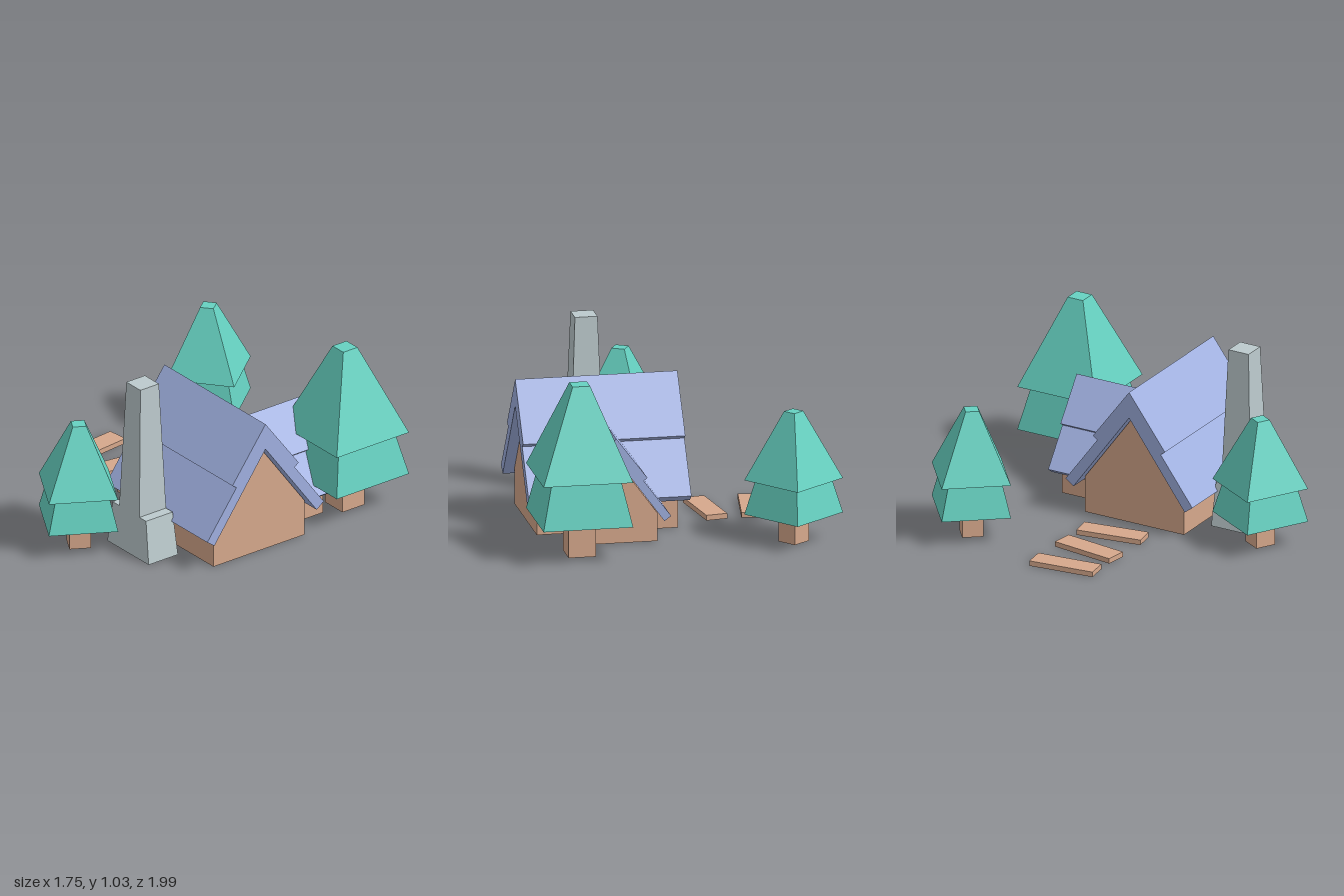
import * as THREE from 'three';

const material = (color) => new THREE.MeshStandardMaterial({ color, flatShading: true });
const WOOD = material(0xd6a88c);
const ROOF = material(0xa0b0e0);
const LEAF = material(0x66d1c1);
const STONE = material(0xbccacd);

function add(parent, name, geometry, mat, x = 0, y = 0, z = 0) {
  const mesh = new THREE.Mesh(geometry, mat);
  mesh.name = name;
  mesh.position.set(x, y, z);
  parent.add(mesh);
  return mesh;
}

// Mirrored outline (right half given from top to bottom) extruded along z from z0 to z1
function extrudeMirrored(half, z0, z1, scale) {
  const right = half.map(([x, y]) => new THREE.Vector2(x * scale, y * scale));
  const left = right.filter((p) => p.x > 0).map((p) => new THREE.Vector2(-p.x, p.y)).reverse();
  const shape = new THREE.Shape([...right, ...left]);
  return new THREE.ExtrudeGeometry(shape, { depth: z1 - z0, bevelEnabled: false }).translate(0, 0, z0);
}

// Four-sided frustum standing on y = 0, given half sizes at bottom and top
function frustum(bx, bz, tx, tz, height) {
  const geometry = new THREE.BoxGeometry(2, height, 2).translate(0, height / 2, 0);
  const p = geometry.attributes.position;
  for (let i = 0; i < p.count; i++) {
    const top = p.getY(i) > height / 2;
    p.setX(i, p.getX(i) * (top ? tx : bx));
    p.setZ(i, p.getZ(i) * (top ? tz : bz));
  }
  geometry.computeVertexNormals();
  return geometry;
}

// Gabled building running along z: low base, gable wall and stepped roof
function gabledHouse(name, scale, wall, roof) {
  const house = new THREE.Group();
  house.name = name;
  const base = 0.11;
  const length = wall[1] - wall[0];
  add(house, 'base', new THREE.BoxGeometry(0.64 * scale, base, length), WOOD,
    0, base / 2, (wall[0] + wall[1]) / 2);
  const gable = [[0, 0.652], [0.32, 0.214], [0.32, base / scale]];
  add(house, 'gableWalls', extrudeMirrored(gable, wall[0], wall[1], scale), WOOD);

  // Two overlapping layers on each slope, as a single closed chevron
  const outer = [[0, 0.815], [0.233, 0.503], [0.205, 0.482], [0.41, 0.204], [0.36, 0.167]];
  const inner = [0, 0.66];
  const points = [...outer, inner, ...outer.slice(1).reverse().map(([x, y]) => [-x, y])];
  const shape = new THREE.Shape(points.map(([x, y]) => new THREE.Vector2(x * scale, y * scale)));
  const roofGeometry = new THREE.ExtrudeGeometry(shape, { depth: roof[1] - roof[0], bevelEnabled: false });
  add(house, 'roof', roofGeometry, ROOF, 0, 0, roof[0]);
  return house;
}

// Square conifer: trunk and two canopy tiers
function tree(name, x, z, angle, scale) {
  const group = new THREE.Group();
  group.name = name;
  add(group, 'trunk', frustum(0.06, 0.06, 0.06, 0.06, 0.17), WOOD);
  add(group, 'lowerCanopy', frustum(0.195, 0.195, 0.15, 0.15, 0.2), LEAF, 0, 0.16);
  add(group, 'upperCanopy', frustum(0.195, 0.195, 0.038, 0.038, 0.394), LEAF, 0, 0.358);
  group.position.set(x, 0, z);
  group.rotation.y = angle;
  group.scale.setScalar(scale);
  return group;
}

export function createModel() {
  const model = new THREE.Group();
  model.name = 'cabinScene';

  // Main house along x, with a smaller cross wing at the back
  const house = gabledHouse('mainHouse', 1, [-0.4, 0.4], [-0.46, 0.46]);
  house.rotation.y = Math.PI / 2;
  house.position.set(0.38, 0, -0.015);
  model.add(house);
  const wing = gabledHouse('backWing', 0.76, [-0.58, -0.1], [-0.63, -0.1]);
  wing.position.x = 0.387;
  model.add(wing);

  // Chimney against the front wall
  const chimney = new THREE.Group();
  chimney.name = 'chimney';
  chimney.position.set(0.354, 0, 0.474);
  add(chimney, 'chimneyBase', frustum(0.188, 0.103, 0.152, 0.0935, 0.255), STONE);
  add(chimney, 'chimneyStack', frustum(0.092, 0.0935, 0.064, 0.065, 0.775), STONE, 0, 0.255);
  model.add(chimney);

  // Trees
  const quarter = Math.PI / 4;
  model.add(tree('backRightTree', -0.6, -0.726, quarter - 0.11, 1));
  model.add(tree('frontTree', 0.1, 0.728, quarter + 0.27, 1));
  model.add(tree('backLeftTree', 0.617, -0.746, 0, 1.304));

  // Path planks
  [[-0.749, 0.11], [-0.492, -0.138], [-0.235, 0.15]].forEach(([x, angle]) => {
    add(model, 'pathPlank', new THREE.BoxGeometry(0.123, 0.03, 0.385), WOOD, x, 0.015, -0.03).rotation.y = angle;
  });

  return model;
}
